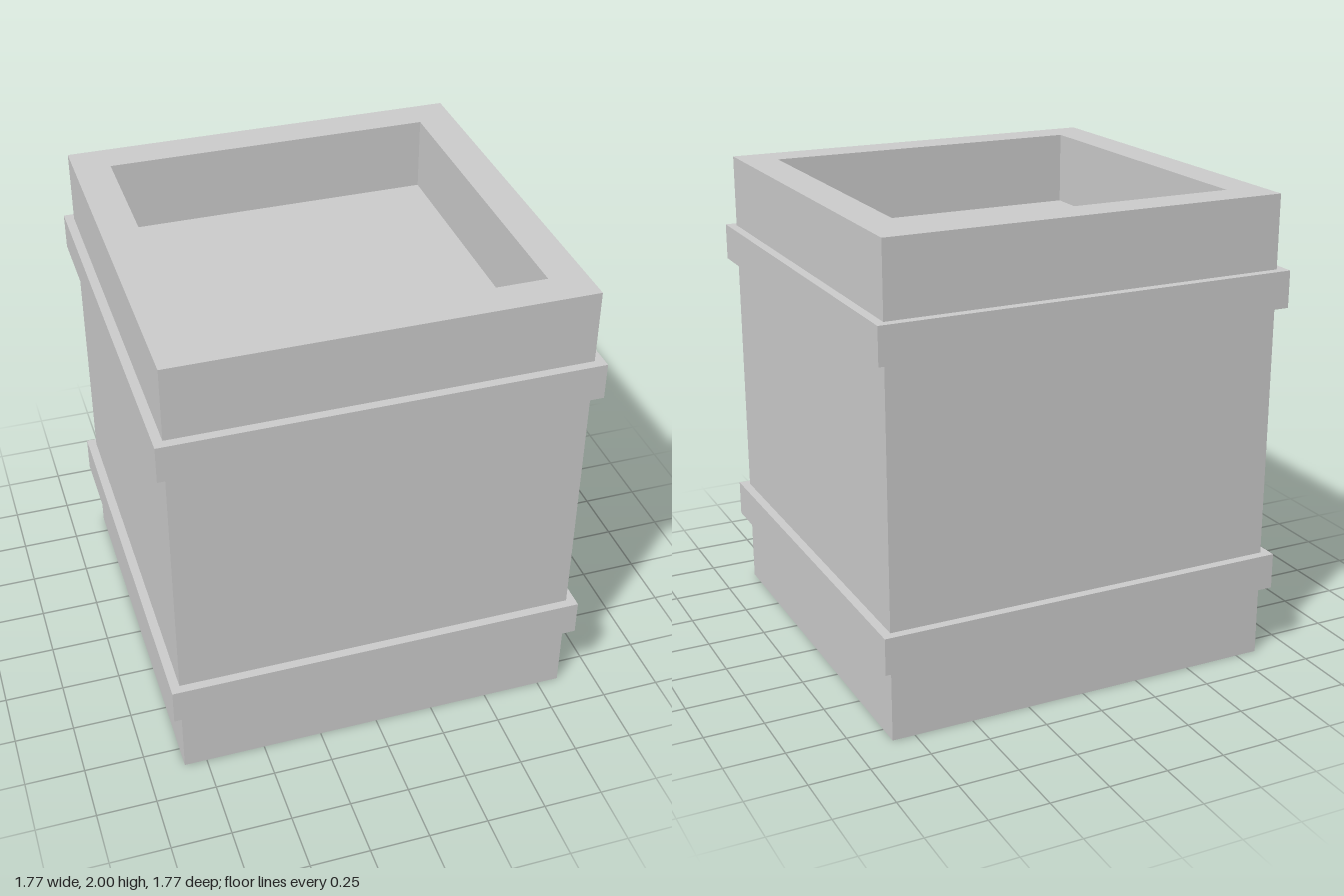
import * as THREE from 'three';

const material = new THREE.MeshStandardMaterial({ color: 0xcccccc, flatShading: true });

// Sweeps a [half width, height] profile around a square
function squareLathe(name, profile) {
  const points = profile.map(([half, y]) => new THREE.Vector2(half * Math.SQRT2, y));
  const geometry = new THREE.LatheGeometry(points, 4, Math.PI / 4).toNonIndexed();
  geometry.computeVertexNormals();
  const mesh = new THREE.Mesh(geometry, material);
  mesh.name = name;
  return mesh;
}

export function createModel() {
  const group = new THREE.Group();
  group.name = 'squareBarrel';

  const outer = 0.845, inner = 0.692, band = 0.883;
  const height = 2, floor = 1.69, bandHeight = 0.154;

  // Solid body with a thick rim around a recessed top
  group.add(squareLathe('body', [
    [0, 0], [outer, 0], [outer, height], [inner, height], [inner, floor], [0, floor],
  ]));

  // Two raised bands wrapped around the body
  for (const [name, y] of [['lowerBand', 0.31], ['upperBand', 1.54]]) {
    group.add(squareLathe(name, [
      [outer, y], [band, y], [band, y + bandHeight], [outer, y + bandHeight],
    ]));
  }

  return group;
}
